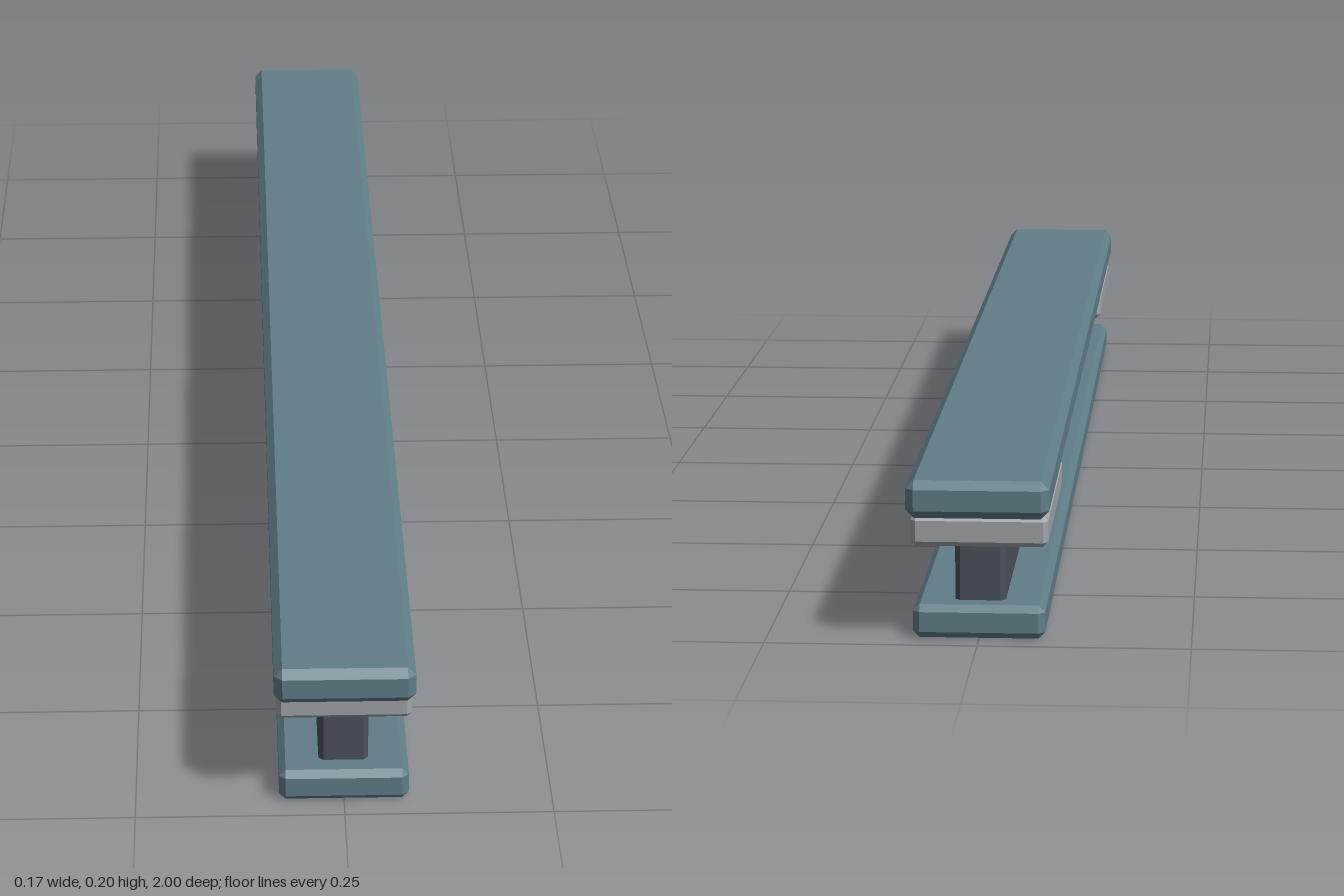
import * as THREE from 'three';
import { ConvexGeometry } from 'three/addons/geometries/ConvexGeometry.js';

const flangeMat = new THREE.MeshStandardMaterial({ color: 0x607d87 });
const webMat = new THREE.MeshStandardMaterial({ color: 0x4a515c });
const plateMat = new THREE.MeshStandardMaterial({ color: 0xa0a3a8 });

// Box with all edges chamfered: each corner becomes three points
function chamferBox(w, h, d, c) {
  const points = [];
  for (const sx of [-1, 1]) for (const sy of [-1, 1]) for (const sz of [-1, 1]) {
    const x = w / 2, y = h / 2, z = d / 2;
    points.push(
      new THREE.Vector3(sx * x, sy * (y - c), sz * (z - c)),
      new THREE.Vector3(sx * (x - c), sy * y, sz * (z - c)),
      new THREE.Vector3(sx * (x - c), sy * (y - c), sz * z)
    );
  }
  return new ConvexGeometry(points);
}

export function createModel() {
  const group = new THREE.Group();
  group.name = 'beam';

  function addBar(name, material, w, y0, y1, d, c, z = 0) {
    const mesh = new THREE.Mesh(chamferBox(w, y1 - y0, d, c), material);
    mesh.name = name;
    mesh.position.set(0, (y0 + y1) / 2, z);
    group.add(mesh);
  }

  // Flanges joined by a narrow web
  addBar('topFlange', flangeMat, 0.168, 0.15, 0.195, 2, 0.01);
  addBar('web', webMat, 0.06, 0.03, 0.16, 1.88, 0.006);
  addBar('bottomFlange', flangeMat, 0.156, 0, 0.04, 1.94, 0.008);

  // Bearing plates at both ends
  addBar('frontPlate', plateMat, 0.162, 0.109, 0.146, 0.344, 0.006, 0.79);
  addBar('backPlate', plateMat, 0.162, 0.109, 0.146, 0.344, 0.006, -0.79);

  return group;
}
